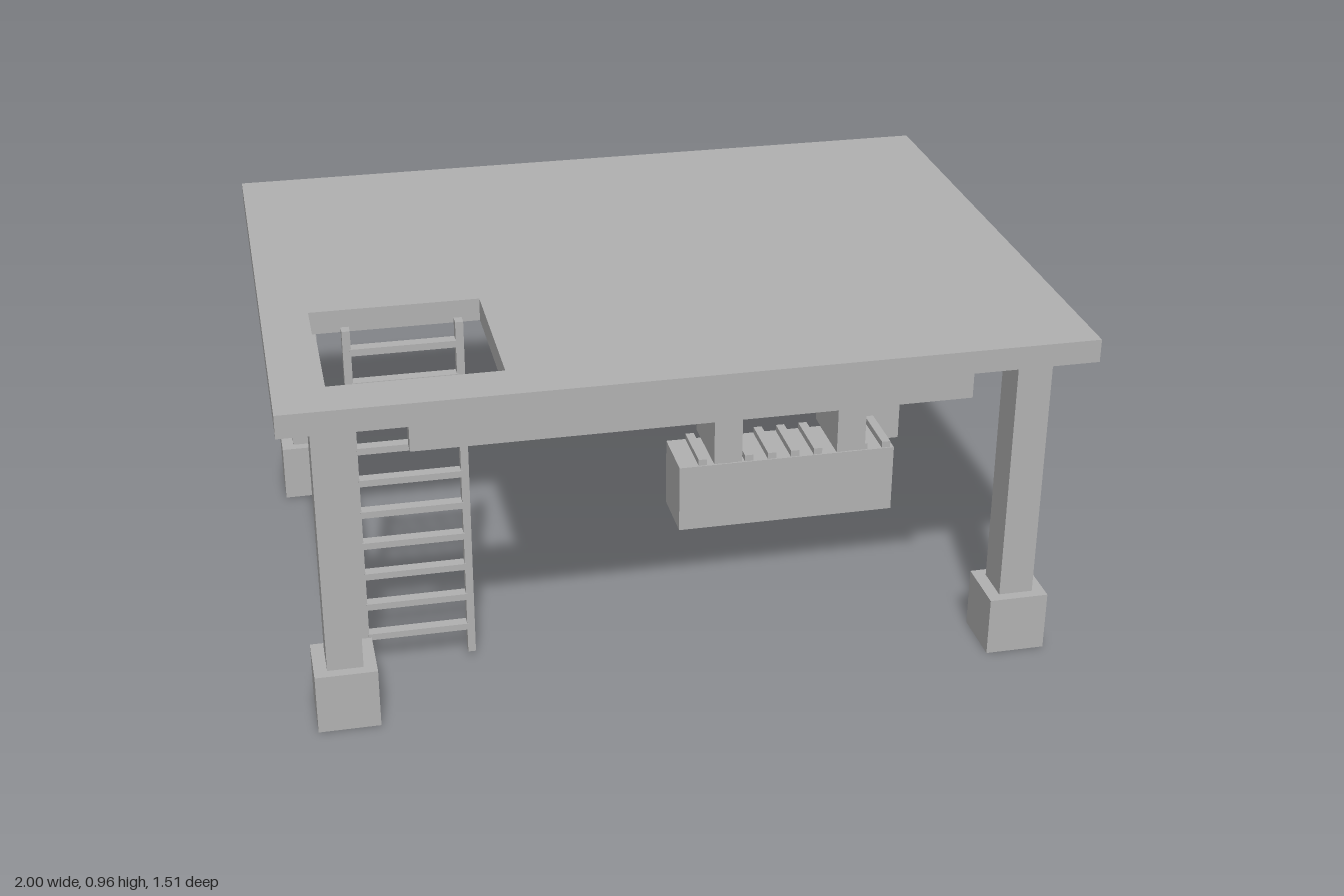
import * as THREE from 'three';

export function createModel() {
  const model = new THREE.Group();
  model.name = 'platformWithLadderAndMachine';
  const grey = new THREE.MeshStandardMaterial({ color: 0xb2b2b2 });
  grey.name = 'plain grey';

  // Box given by its limits on each axis
  function box(name, [x0, x1], [y0, y1], [z0, z1], parent = model) {
    const mesh = new THREE.Mesh(new THREE.BoxGeometry(x1 - x0, y1 - y0, z1 - z0), grey);
    mesh.position.set((x0 + x1) / 2, (y0 + y1) / 2, (z0 + z1) / 2);
    mesh.name = name;
    parent.add(mesh);
    return mesh;
  }
  function group(name) {
    const g = new THREE.Group();
    g.name = name;
    model.add(g);
    return g;
  }
  const around = (c, size) => [c - size / 2, c + size / 2];

  // Outline drawn in x and -z, so that it lies flat after turning
  function rectangle(PathType, x0, x1, z0, z1) {
    return new PathType([[x0, -z1], [x1, -z1], [x1, -z0], [x0, -z0]]
      .map(([x, y]) => new THREE.Vector2(x, y)));
  }

  // Deck with the ladder hatch
  const outline = rectangle(THREE.Shape, -1, 1, -0.757, 0.757);
  outline.holes.push(rectangle(THREE.Path, -0.881, -0.449, 0.198, 0.629));
  const deckGeometry = new THREE.ExtrudeGeometry(outline, { depth: 0.06, bevelEnabled: false });
  deckGeometry.rotateX(-Math.PI / 2);
  const deck = new THREE.Mesh(deckGeometry, grey);
  deck.name = 'deck';
  deck.position.y = 0.858;
  model.add(deck);

  // Posts on footings, joined front to back by side rails
  for (const sx of [-1, 1]) {
    const x = sx * 0.874;
    for (const sz of [-1, 1]) {
      const z = sz * 0.615;
      box('footing', around(x, 0.156), [0, 0.16], around(z, 0.156));
      box('post', around(x, 0.09), [0.16, 0.858], around(z, 0.102));
    }
    box('sideRail', around(x, 0.02), [0.8, 0.83], [-0.565, 0.565]);
  }

  // Beam under the front edge
  box('frontBeam', [-0.692, 0.692], [0.774, 0.858], [0.681, 0.72]);

  // Ladder through the hatch
  const ladder = group('ladder');
  for (const x of [-0.805, -0.53]) {
    box('ladderRail', around(x, 0.02), [0.015, 0.962], [0.4, 0.428], ladder);
  }
  for (let i = 0; i < 10; i++) {
    box('rung', [-0.798, -0.537], around(0.093 + i * 0.0902, 0.018), [0.401, 0.43], ladder);
  }

  // Machine bed with slats
  const machine = group('machine');
  box('bed', [0.149, 0.789], [0, 0.203], [-0.281, -0.106], machine);
  for (let i = 0; i < 9; i++) {
    box('slat', around(0.218 + i * 0.0685, 0.025), [0.203, 0.222], [-0.278, -0.11], machine);
  }

  // Gantry bridging the bed
  const arch = new THREE.Shape([
    [0.245, 0.218], [0.327, 0.218], [0.327, 0.36], [0.609, 0.36],
    [0.609, 0.218], [0.693, 0.218], [0.693, 0.43], [0.245, 0.43],
  ].map(([x, y]) => new THREE.Vector2(x, y)));
  const gantry = new THREE.Mesh(
    new THREE.ExtrudeGeometry(arch, { depth: 0.218, bevelEnabled: false }), grey);
  gantry.name = 'gantry';
  gantry.position.z = -0.302;
  machine.add(gantry);

  // Thin cover folded over the gantry, with a small cap on top
  box('coverTop', [0.27, 0.66], [0.43, 0.439], [-0.305, -0.081], machine);
  box('coverFront', [0.27, 0.66], [0.366, 0.43], [-0.084, -0.081], machine);
  box('coverBack', [0.27, 0.66], [0.366, 0.43], [-0.305, -0.302], machine);
  box('cap', [0.279, 0.335], [0.439, 0.453], [-0.224, -0.163], machine);

  return model;
}
